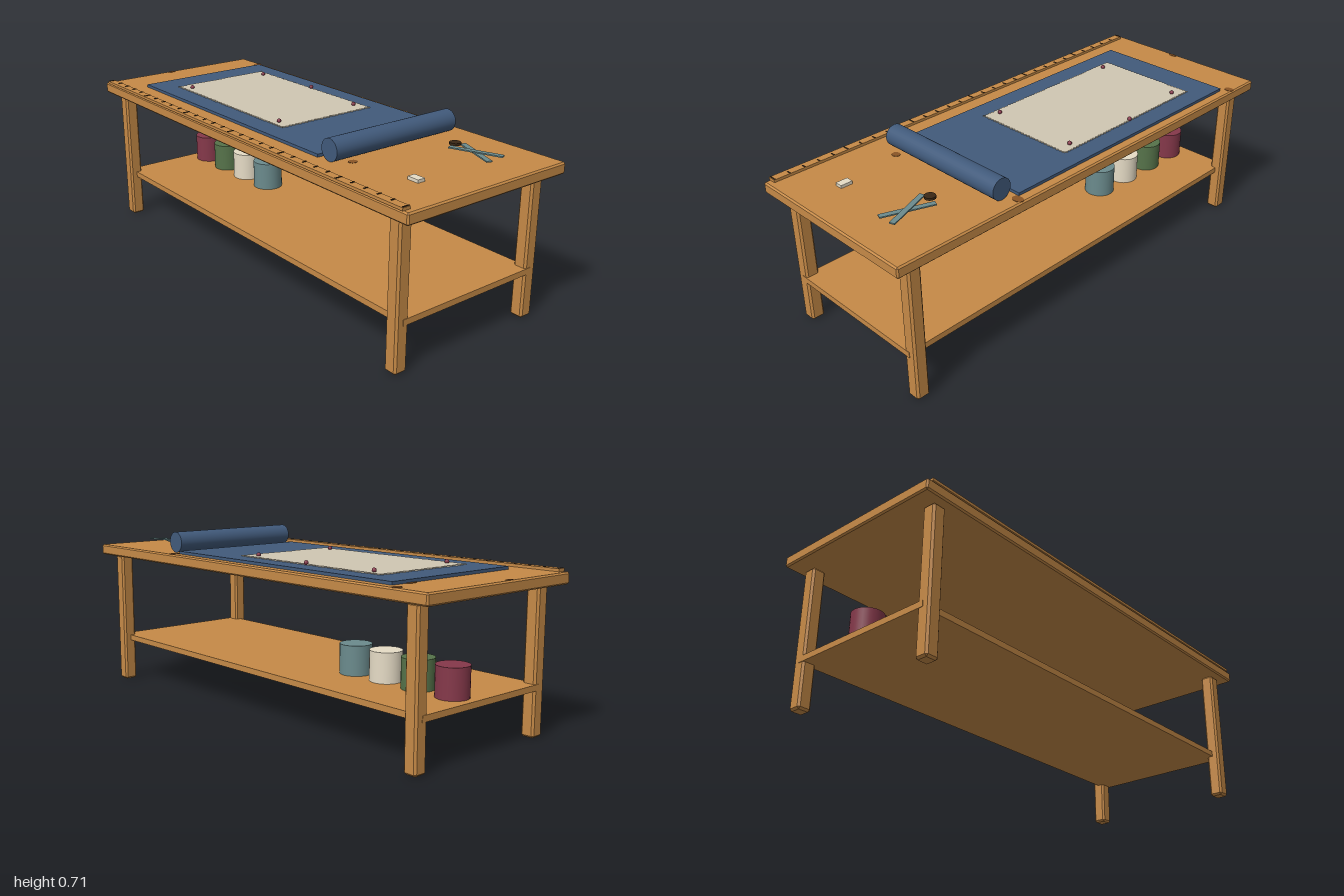
import * as THREE from 'three';
import { ConvexGeometry } from 'three/addons/geometries/ConvexGeometry.js';

const paint = (name, color) => {
  const m = new THREE.MeshStandardMaterial({ color });
  m.name = name;
  return m;
};

// Box with all edges cut at 45 degrees
function chamferBox(w, h, d, c) {
  const pts = [];
  for (const x of [-1, 1]) for (const y of [-1, 1]) for (const z of [-1, 1]) {
    for (let k = 0; k < 3; k++) {
      const inset = [c, c, c];
      inset[k] = 0;
      pts.push(new THREE.Vector3(
        x * (w / 2 - inset[0]), y * (h / 2 - inset[1]), z * (d / 2 - inset[2])));
    }
  }
  return new ConvexGeometry(pts);
}

// Sheet with pinked (zigzag) edges, lying flat with its base at y = 0
function pinkedSheet(w, d, h, tooth) {
  const corners = [[-w / 2, -d / 2], [w / 2, -d / 2], [w / 2, d / 2], [-w / 2, d / 2]];
  const pts = [];
  corners.forEach(([x0, y0], i) => {
    const [x1, y1] = corners[(i + 1) % 4];
    const len = Math.hypot(x1 - x0, y1 - y0);
    const n = Math.round(len / tooth);
    const nx = -(y1 - y0) / len, ny = (x1 - x0) / len;
    for (let k = 0; k < n; k++) {
      for (const [t, inset] of [[k / n, 0], [(k + 0.5) / n, tooth * 0.4]]) {
        pts.push(new THREE.Vector2(
          x0 + (x1 - x0) * t + nx * inset, y0 + (y1 - y0) * t + ny * inset));
      }
    }
  });
  const geo = new THREE.ExtrudeGeometry(new THREE.Shape(pts), { depth: h, bevelEnabled: false });
  return geo.rotateX(-Math.PI / 2);
}

export function createModel() {
  const model = new THREE.Group();
  model.name = 'cuttingTable';

  const wood = paint('wood', 0xc68a47);
  const knotWood = paint('knotWood', 0x8a5526);
  const blue = paint('blueCloth', 0x415a7b);
  const paper = paint('patternPaper', 0xd0c7b2);
  const red = paint('red', 0x85384a);
  const green = paint('green', 0x56734a);
  const cream = paint('cream', 0xe6dcc6);
  const teal = paint('teal', 0x6b8b8d);
  const dark = paint('darkBrown', 0x3a2815);

  const add = (name, geo, mat, x, y, z, parent = model) => {
    const mesh = new THREE.Mesh(geo, mat);
    mesh.name = name;
    mesh.position.set(x, y, z);
    parent.add(mesh);
    return mesh;
  };
  const group = (name) => {
    const g = new THREE.Group();
    g.name = name;
    model.add(g);
    return g;
  };

  // Table frame
  add('tableTop', chamferBox(2, 0.045, 0.77, 0.006), wood, 0, 0.6025, 0);
  const legGeo = chamferBox(0.056, 0.58, 0.056, 0.008);
  for (const x of [-0.905, 0.905]) for (const z of [-0.323, 0.323]) {
    add('leg', legGeo, wood, x, 0.29, z);
  }
  add('shelf', new THREE.BoxGeometry(1.87, 0.024, 0.644), wood, 0, 0.195, 0);

  // Knots in the table top
  const knots = group('knots');
  for (const [x, z, rx, rz] of [[-0.85, -0.364, 0.016, 0.02], [0.438, -0.358, 0.018, 0.024],
    [0.533, 0.206, 0.016, 0.018], [-0.812, -0.255, 0.012, 0.025], [-0.986, 0.045, 0.008, 0.02]]) {
    add('knot', new THREE.CylinderGeometry(1, 1, 0.002, 16), knotWood, x, 0.6255, z, knots)
      .scale.set(rx, 1, rz);
  }

  // Spread cloth, pattern and pins
  add('cloth', new THREE.BoxGeometry(1.23, 0.012, 0.62), blue, -0.195, 0.631, -0.035);
  add('pattern', pinkedSheet(0.776, 0.456, 0.004, 0.016), paper, -0.293, 0.637, -0.038);
  const pins = group('pins');
  const pinGeo = new THREE.SphereGeometry(0.009, 12, 8);
  for (const [x, z] of [[-0.615, -0.23], [0.03, -0.23], [-0.615, 0.157], [0.03, 0.157], [-0.293, -0.262]]) {
    add('pin', pinGeo, red, x, 0.646, z, pins);
  }

  // Rolled end of the cloth
  add('clothRoll', new THREE.CylinderGeometry(0.0435, 0.0435, 0.594, 32).rotateX(Math.PI / 2),
    blue, 0.481, 0.6685, -0.025);

  // Ruler along the front edge
  const ruler = group('ruler');
  add('rulerBar', new THREE.BoxGeometry(1.95, 0.011, 0.033), wood, 0, 0.6305, 0.3685, ruler);
  for (let i = 0; i <= 30; i++) {
    const len = i % 5 === 0 ? 0.03 : 0.018;
    add('tick', new THREE.BoxGeometry(0.005, 0.002, len), dark,
      -0.97 + i * 1.94 / 30, 0.637, 0.352 + len / 2, ruler);
  }

  // Shears: two crossed blades and a round grip
  const shears = group('shears');
  for (const s of [-1, 1]) {
    add('blade', new THREE.BoxGeometry(0.205, 0.005, 0.022), teal,
      0.775, 0.648 + s * 0.002, -0.163, shears).rotation.y = s * 0.36;
  }
  add('grip', new THREE.CylinderGeometry(0.022, 0.022, 0.009, 16), dark, 0.674, 0.6555, -0.163, shears);

  add('chalk', new THREE.BoxGeometry(0.05, 0.012, 0.032), cream, 0.805, 0.631, 0.161);

  // Thread cones on the shelf
  const spoolGeo = new THREE.CylinderGeometry(0.063, 0.063, 0.118, 32);
  [red, green, cream, teal].forEach((mat, i) => {
    add('spool', spoolGeo, mat, -0.842 + i * 0.161, 0.266, -0.064);
  });

  return model;
}
